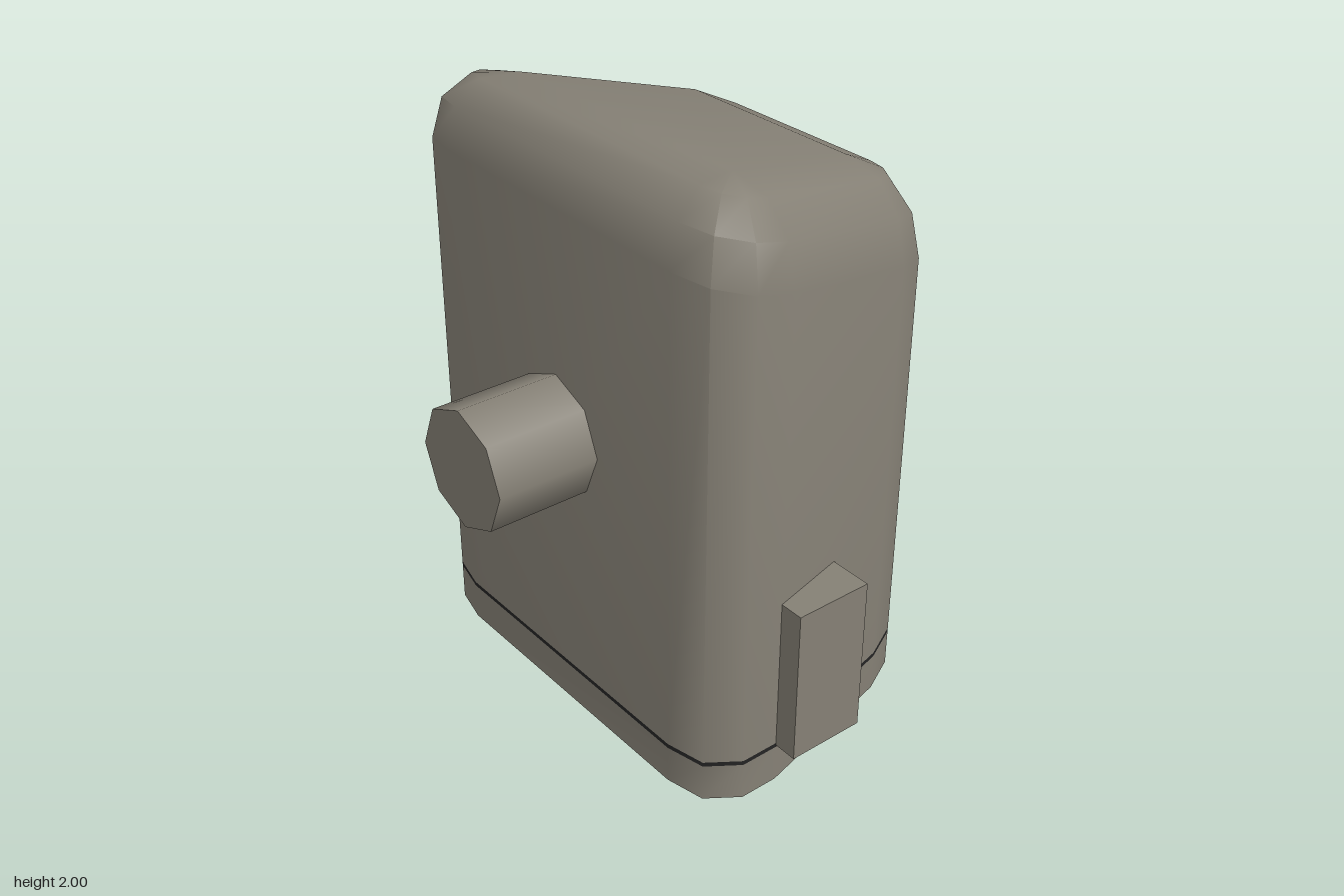
import * as THREE from 'three';
import { toCreasedNormals } from 'three/addons/utils/BufferGeometryUtils.js';

const CX = -0.04; // the housing sits slightly to one side of the clip
const FRONT_INNER = [0.48, 0.11], BACK_INNER = [0.34, -0.44];

// Half outline seen from above (x, z) with the centre of its rounded corner
const HALF = [
  [0.53, 0.36, FRONT_INNER], [0.66, 0.33, FRONT_INNER],
  [0.73, 0.23, FRONT_INNER], [0.73, 0.10, FRONT_INNER],
  [0.60, -0.44, BACK_INNER], [0.535, -0.57, BACK_INNER],
  [0.405, -0.665, BACK_INNER], [0.275, -0.70, BACK_INNER],
];
const OUTLINE = [
  ...HALF,
  ...HALF.slice().reverse().map(([x, z, c]) => [-x, z, [-c[0], c[1]]]),
];

// Outline pulled towards its corner centres by t, at height y + slope * z
function ring(y, t = 0, slope = 0) {
  return OUTLINE.map(([x, z, c]) => {
    const px = x + (c[0] - x) * t, pz = z + (c[1] - z) * t;
    return new THREE.Vector3(CX + px, y + slope * pz, pz);
  });
}

// Closed skin through a stack of rings, bottom to top
function loft(rings) {
  const pos = [];
  const n = OUTLINE.length;
  const tri = (a, b, c) => {
    const area = b.clone().sub(a).cross(c.clone().sub(a)).length();
    if (area > 1e-7) pos.push(...a.toArray(), ...b.toArray(), ...c.toArray());
  };
  for (let k = 0; k < rings.length - 1; k++) {
    const lo = rings[k], hi = rings[k + 1];
    for (let i = 0; i < n; i++) {
      const j = (i + 1) % n;
      tri(lo[i], lo[j], hi[j]);
      tri(lo[i], hi[j], hi[i]);
    }
  }
  const bottom = rings[0], top = rings[rings.length - 1];
  for (let i = 1; i < n - 1; i++) {
    tri(bottom[0], bottom[i + 1], bottom[i]);
    tri(top[0], top[i], top[i + 1]);
  }
  const g = new THREE.BufferGeometry();
  g.setAttribute('position', new THREE.Float32BufferAttribute(pos, 3));
  return toCreasedNormals(g, 0.8);
}

export function createModel() {
  const group = new THREE.Group();
  const casing = new THREE.MeshStandardMaterial({ name: 'warm grey', color: 0x858075 });
  const dark = new THREE.MeshStandardMaterial({ name: 'dark rubber', color: 0x242424 });
  const glass = new THREE.MeshStandardMaterial({ name: 'dark lens', color: 0x333333 });

  const add = (name, geometry, material, x = 0, y = 0, z = 0) => {
    const mesh = new THREE.Mesh(geometry, material);
    mesh.name = name;
    mesh.position.set(x, y, z);
    group.add(mesh);
    return mesh;
  };

  // Housing: base plate, thin seam, main shell with a sloped rounded top
  add('basePlate', loft([ring(0.07), ring(0.198)]), casing);
  add('seam', loft([ring(0.198), ring(0.213)]), dark);
  add('housing', loft([
    ring(0.213),
    ring(1.709, 0, 0.252),
    ring(1.846, 0.13, 0.252),
    ring(1.94, 0.46, 0.252),
    ring(1.972, 1, 0.252),
  ]), casing);

  // Octagonal knob on the front
  const knob = new THREE.CylinderGeometry(0.198, 0.198, 0.4, 8);
  knob.rotateX(Math.PI / 2);
  add('frontKnob', knob, casing, CX, 1.068, 0.5);

  // Side clip
  add('sideClip', new THREE.BoxGeometry(0.27, 0.53, 0.265), casing, 0.635, 0.47, -0.0325);

  // Round collar and concave lens underneath
  const collar = new THREE.LatheGeometry(
    [[0.265, 0.015], [0.27, 0], [0.333, 0], [0.333, 0.08]].map(p => new THREE.Vector2(...p)), 24);
  add('bottomCollar', toCreasedNormals(collar, 0.7), dark, CX, 0, -0.165);
  const bowl = [];
  for (let i = 0; i <= 6; i++) {
    const a = (i / 6) * Math.PI / 2;
    bowl.push(new THREE.Vector2(0.265 * Math.sin(a), 0.015 + 0.1 * Math.cos(a)));
  }
  // Cut the base plate open visually by keeping the bowl above its underside shallow
  bowl.forEach(p => { p.y = 0.015 + (p.y - 0.015) * 0.5; });
  add('bottomLens', new THREE.LatheGeometry(bowl, 24), glass, CX, 0, -0.165);

  return group;
}
